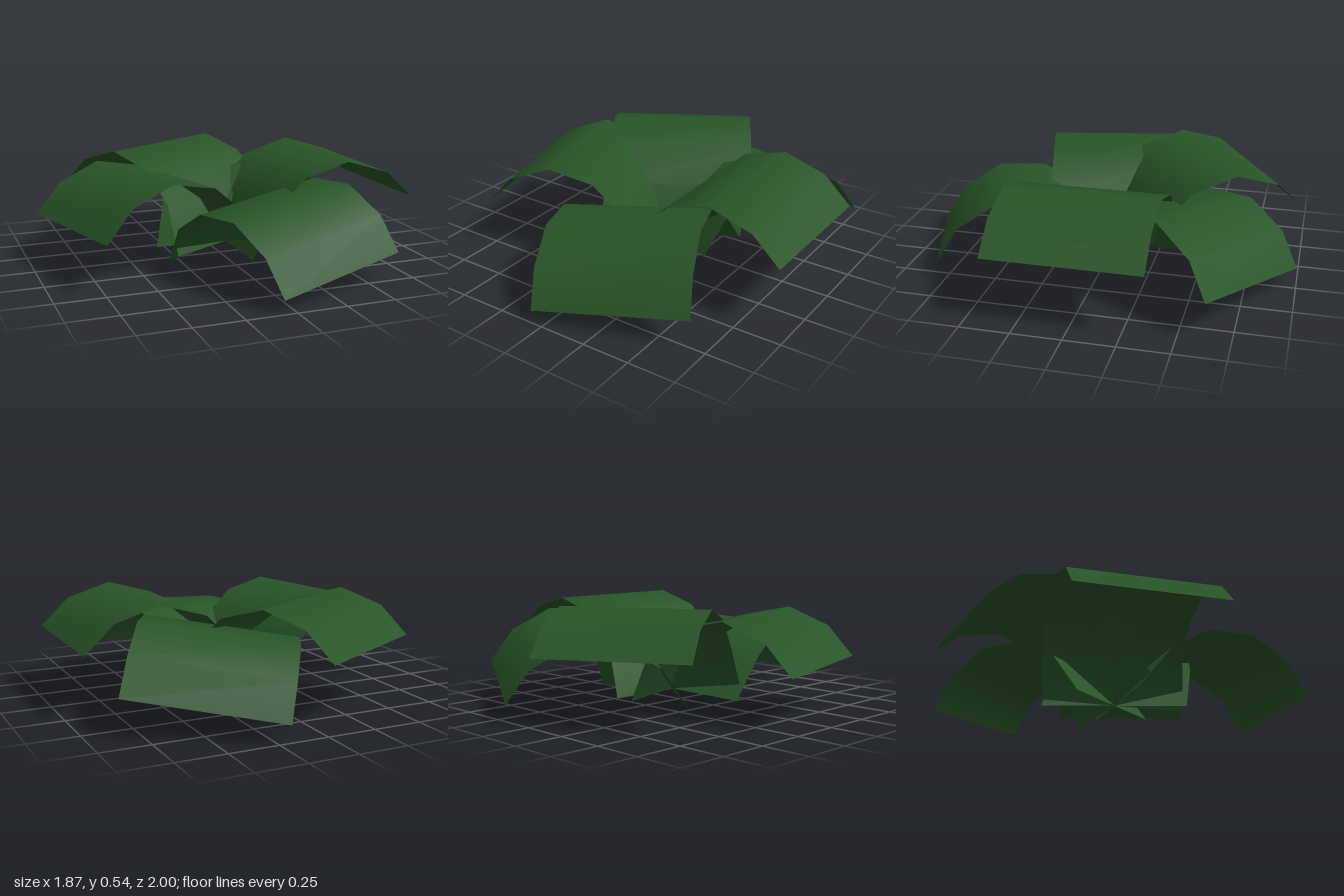
import * as THREE from 'three';

// Side profile of a leaf from base to tip: [lateral shift, height, reach]
const PROFILE = [
  [0, 0, 0],
  [-0.035, 0.25, 0.10],
  [-0.045, 0.415, 0.265],
  [-0.045, 0.485, 0.505],
  [-0.045, 0.415, 0.735],
  [-0.045, 0.275, 0.885],
];
const LEAF_WIDTH = 0.775;

// Each leaf: heading around y, droop and sideways roll, in degrees
const LEAVES = [
  { name: 'frontLeaf', yaw: 19.1, droop: 14, roll: 5.5 },
  { name: 'leftLeaf', yaw: 90, droop: 0, roll: 0 },
  { name: 'backLeftLeaf', yaw: 151, droop: 12.6, roll: -8 },
  { name: 'backRightLeaf', yaw: -150, droop: 0, roll: 0 },
  { name: 'rightLeaf', yaw: -75.8, droop: 4.8, roll: 0.8 },
];

// A flat strip bent along the arching profile
function leafGeometry() {
  const geometry = new THREE.PlaneGeometry(LEAF_WIDTH, 1, 1, PROFILE.length - 1);
  const position = geometry.attributes.position;
  for (let i = 0; i < position.count; i++) {
    const [shift, height, reach] = PROFILE[Math.floor(i / 2)];
    position.setXYZ(i, position.getX(i) + shift, height, reach);
  }
  geometry.computeVertexNormals();
  return geometry;
}

export function createModel() {
  const model = new THREE.Group();
  model.name = 'leafyPlant';
  const leafGreen = new THREE.MeshStandardMaterial({ color: 0x285427, side: THREE.DoubleSide });
  leafGreen.name = 'leafGreen';

  // Five arching leaves fanned around a shared base
  const geometry = leafGeometry();
  const rad = THREE.MathUtils.degToRad;
  for (const { name, yaw, droop, roll } of LEAVES) {
    const leaf = new THREE.Mesh(geometry, leafGreen);
    leaf.name = name;
    leaf.rotation.set(rad(droop), rad(yaw), rad(roll), 'YZX');
    leaf.position.set(0.045, 0.062, -0.02);
    model.add(leaf);
  }
  return model;
}
